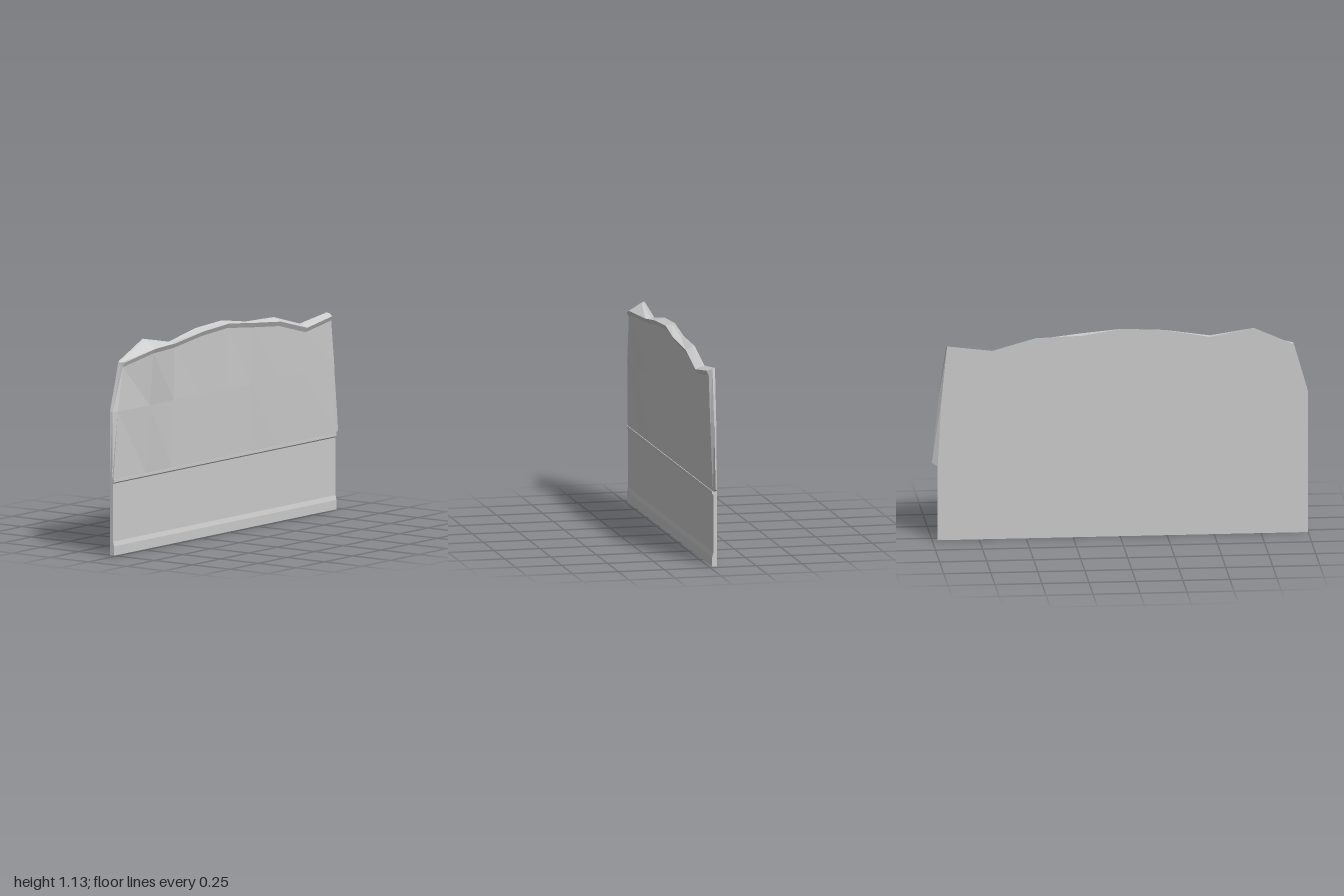
import * as THREE from 'three';

// top edge by station: z, back height, front height, front x
const STATIONS = [
  [0.925, 1.03, 1.028, 0.0],
  [0.71, 1.125, 1.078, 0.04],
  [0.48, 1.08, 1.076, 0.004],
  [0.24, 1.123, 1.11, 0.01],
  [0.01, 1.135, 1.122, 0.005],
  [-0.2, 1.102, 1.1, 0.015],
  [-0.45, 1.094, 1.074, 0.004],
  [-0.68, 1.03, 1.012, 0.005],
  [-0.915, 1.06, 1.045, 0.0],
];
const BACK = -0.045, RIDGE = -0.03, FRONT = -0.022;
const LOW = 0.405, MID = 0.77;

// closed cross-section: up the flat back, over the top, down the flared front
function section([z, backY, frontY, frontX]) {
  return [
    [BACK, LOW, z], [BACK, MID, z], [BACK, backY, z],
    [RIDGE, backY - 0.005, z],
    [frontX, frontY, z], [frontX - 0.012, frontY - 0.025, z],
    [FRONT + (frontX - FRONT) * 0.4, MID, z], [FRONT, LOW, z],
  ];
}

function upperGeometry() {
  const rings = STATIONS.map(section);
  const first = rings[0], last = rings[rings.length - 1];
  // the ends widen towards the bottom
  const endZ = (ring, zs) => ring.forEach((p, i) => { p[2] = zs[i]; });
  endZ(first, [1, 1, 0.925, 0.925, 0.925, 0.93, 0.972, 1]);
  endZ(last, [-0.97, -0.95, -0.92, -0.925, -0.91, -0.915, -0.945, -0.97]);

  const pos = [];
  const tri = (a, b, c) => pos.push(...a, ...b, ...c);
  const quad = (a, b, c, d) => { tri(a, b, c); tri(a, c, d); };

  for (let i = 0; i < rings.length - 1; i++) {
    const r = rings[i], s = rings[i + 1];
    for (let j = 0; j < r.length; j++) {
      const k = (j + 1) % r.length;
      quad(r[j], r[k], s[k], s[j]);
    }
  }
  // end strips with a raised middle ridge
  const cap = (r, m0, m1, flip) => {
    const [b0, b1, b2, m2, f2, lip, f1, f0] = r;
    const faces = [[b0, m0, m1, b1], [b1, m1, m2, b2], [m0, f0, f1, m1],
      [m1, f1, lip, m2], [m2, lip, f2], [b0, f0, m0]];
    for (const f of faces) {
      if (flip) f.reverse();
      if (f.length === 4) quad(...f); else tri(...f);
    }
  };
  cap(first, [RIDGE, LOW + 0.01, 1], [RIDGE, MID, 0.995], false);
  cap(last, [RIDGE, 0.42, -1], [RIDGE, MID, -0.965], true);

  const g = new THREE.BufferGeometry();
  g.setAttribute('position', new THREE.Float32BufferAttribute(pos, 3));
  g.computeVertexNormals();
  return g;
}

// straight lower board with a foot and a thin ledge on its front
function baseGeometry() {
  const profile = [[BACK, 0], [-0.018, 0], [-0.018, 0.05], [-0.024, 0.075],
    [-0.024, 0.385], [-0.018, 0.392], [-0.018, LOW], [BACK, LOW]];
  const shape = new THREE.Shape(profile.map(([x, y]) => new THREE.Vector2(x, y)));
  const g = new THREE.ExtrudeGeometry(shape, { depth: 1.97, bevelEnabled: false });
  return g.translate(0, 0, -0.97);
}

export function createModel() {
  const grey = new THREE.MeshStandardMaterial({ color: 0xcccccc });
  grey.name = 'light grey';
  grey.flatShading = true;

  const group = new THREE.Group();
  group.name = 'wallPanel';
  const base = new THREE.Mesh(baseGeometry(), grey);
  base.name = 'baseBoard';
  const upper = new THREE.Mesh(upperGeometry(), grey);
  upper.name = 'unevenUpperPanel';
  group.add(base, upper);
  return group;
}
